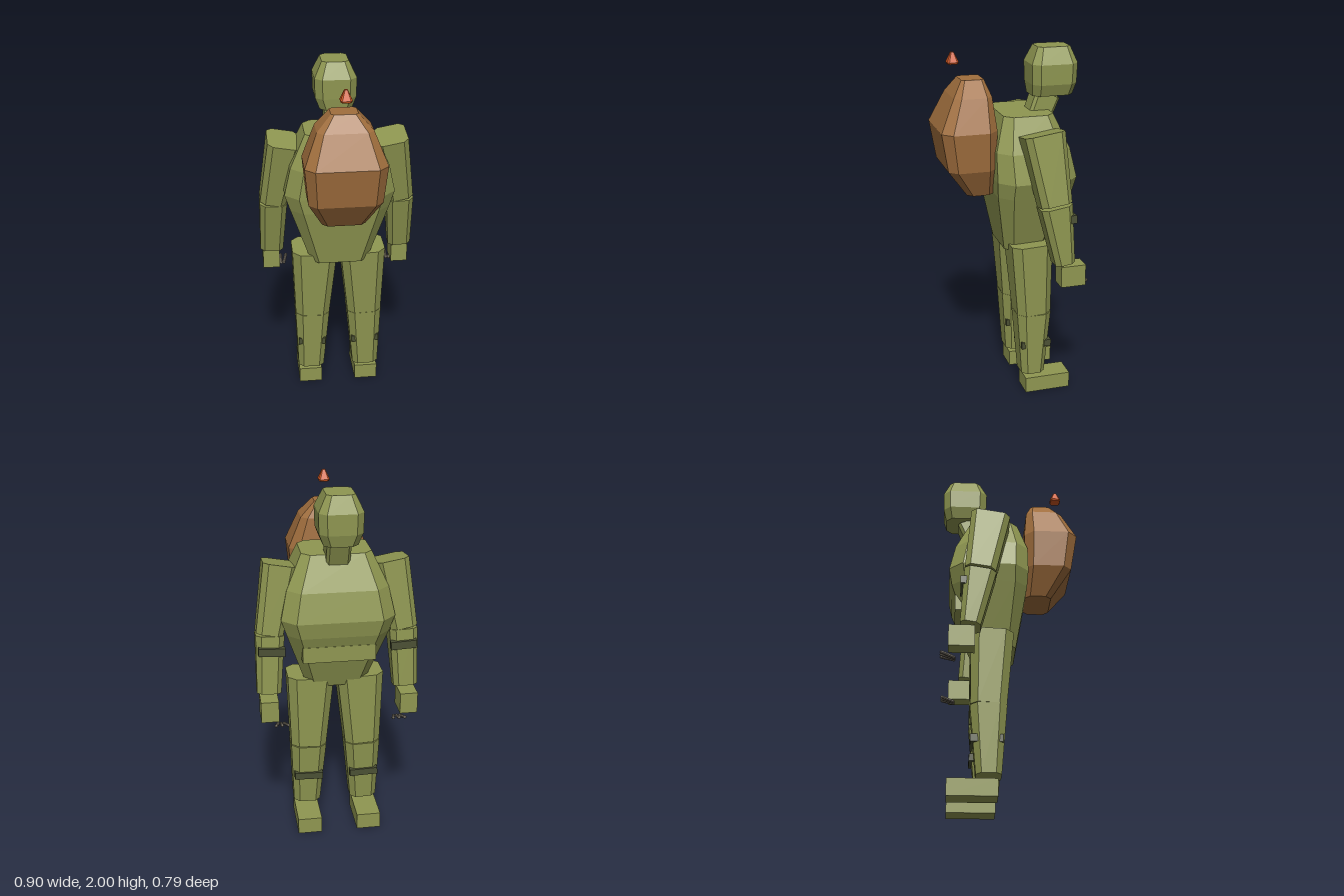
import * as THREE from 'three';

const mat = (name, color) => {
  const m = new THREE.MeshStandardMaterial({ color, flatShading: true });
  m.name = name;
  return m;
};

// Closed loft through chamfered rectangles, bottom to top.
// Ring: [x, y, z, halfWidth, halfDepth, chamfer]; tx and tz lean the ring planes.
function loft(rings, tx = 0, tz = 0) {
  const loops = rings.map(([cx, cy, cz, w, d, b]) =>
    [[w, d - b], [w, b - d], [w - b, -d], [b - w, -d], [-w, b - d], [-w, d - b], [b - w, d], [w - b, d]]
      .map(([x, z]) => [cx + x, cy + x * tx + z * tz, cz + z]));
  const out = [];
  const tri = (...pts) => pts.forEach((p) => out.push(...p));
  for (let r = 0; r < loops.length - 1; r++) {
    const a = loops[r], c = loops[r + 1];
    for (let i = 0; i < 8; i++) {
      const j = (i + 1) % 8;
      tri(a[i], a[j], c[j]);
      tri(a[i], c[j], c[i]);
    }
  }
  const lo = loops[0], hi = loops[loops.length - 1];
  for (let i = 1; i < 7; i++) {
    tri(lo[0], lo[i + 1], lo[i]);
    tri(hi[0], hi[i], hi[i + 1]);
  }
  const g = new THREE.BufferGeometry();
  g.setAttribute('position', new THREE.Float32BufferAttribute(out, 3));
  g.computeVertexNormals();
  return g;
}

// Tapered segment whose end planes are square to its axis
function limb(lower, upper) {
  const dy = upper[1] - lower[1];
  return loft([lower, upper], -(upper[0] - lower[0]) / dy, -(upper[2] - lower[2]) / dy);
}

export function createModel() {
  const green = mat('olive green', 0x8f9751);
  const brown = mat('pack brown', 0xa06e3d);
  const orange = mat('orange', 0xd0561f);
  const dark = mat('dark strap', 0x4b5034);
  const grey = mat('finger grey', 0x777063);

  const model = new THREE.Group();
  model.name = 'figure';
  const add = (parent, name, geometry, material) => {
    const m = new THREE.Mesh(geometry, material);
    m.name = name;
    parent.add(m);
    return m;
  };
  // Box given by its limits, x mirrored by side
  const box = (parent, name, material, s, x0, x1, y0, y1, z0, z1) => {
    const m = add(parent, name, new THREE.BoxGeometry(x1 - x0, y1 - y0, z1 - z0), material);
    m.position.set(s * (x0 + x1) / 2, (y0 + y1) / 2, (z0 + z1) / 2);
    return m;
  };

  // Head, neck and torso
  add(model, 'head', loft([
    [0, 1.735, -0.26, 0.09, 0.115, 0.035],
    [0, 1.80, -0.265, 0.115, 0.127, 0.04],
    [0, 1.91, -0.265, 0.118, 0.13, 0.04],
    [0, 2.0, -0.267, 0.075, 0.092, 0.025],
  ]), green);
  add(model, 'neck', limb([0, 1.61, -0.187, 0.065, 0.062, 0.015], [0, 1.74, -0.238, 0.065, 0.066, 0.015]), green);
  add(model, 'torso', loft([
    [0, 0.88, -0.085, 0.165, 0.12, 0.045],
    [0, 1.22, -0.118, 0.28, 0.212, 0.07],
    [0, 1.31, -0.123, 0.31, 0.224, 0.077],
    [0, 1.47, -0.107, 0.275, 0.207, 0.07],
    [0, 1.655, -0.095, 0.19, 0.14, 0.045],
  ]), green);
  box(model, 'bellyPlate', green, 1, -0.2, 0.2, 1.07, 1.16, -0.31, -0.24);

  // Backpack with a floating tip above it
  add(model, 'backpack', loft([
    [0, 1.21, 0.165, 0.12, 0.075, 0.03],
    [0, 1.37, 0.222, 0.20, 0.133, 0.045],
    [0, 1.585, 0.238, 0.22, 0.153, 0.053],
    [0, 1.76, 0.205, 0.15, 0.105, 0.035],
    [0, 1.845, 0.192, 0.072, 0.062, 0.016],
  ]), brown);
  add(model, 'packTip', loft([
    [0, 1.925, 0.288, 0.028, 0.028, 0.01],
    [0, 1.935, 0.288, 0.032, 0.031, 0.01],
    [0, 1.988, 0.288, 0.009, 0.009, 0.003],
  ]), orange);

  for (const s of [1, -1]) {
    const side = s > 0 ? 'left' : 'right';

    // Arm, strap, hand and fingers
    const arm = new THREE.Group();
    arm.name = side + 'Arm';
    model.add(arm);
    add(arm, 'upperArm', limb(
      [s * 0.37, 1.21, -0.175, 0.073, 0.085, 0.03], [s * 0.302, 1.588, -0.12, 0.09, 0.11, 0.03]), green);
    add(arm, 'forearm', limb(
      [s * 0.382, 0.878, -0.225, 0.067, 0.055, 0.025], [s * 0.367, 1.205, -0.175, 0.078, 0.087, 0.03]), green);
    const strap = box(arm, 'armStrap', dark, s, 0.29, 0.435, 1.11, 1.155, -0.282, -0.245);
    strap.rotation.z = s * 0.05;
    box(arm, 'hand', green, s, 0.337, 0.435, 0.745, 0.865, -0.34, -0.2);
    [-1, 0, 1].forEach((k) => {
      const base = new THREE.Vector3(s * (0.325 + k * 0.017), 0.718, -0.308);
      const tip = new THREE.Vector3(s * (0.325 + k * 0.033), 0.739, -0.374);
      const finger = add(arm, 'finger', new THREE.CapsuleGeometry(0.009, base.distanceTo(tip), 3, 8), grey);
      finger.position.copy(base).lerp(tip, 0.5);
      finger.quaternion.setFromUnitVectors(new THREE.Vector3(0, 1, 0), tip.sub(base).normalize());
    });

    // Leg, front and back shin straps, foot
    const leg = new THREE.Group();
    leg.name = side + 'Leg';
    model.add(leg);
    add(leg, 'thigh', limb(
      [s * 0.156, 0.5, -0.117, 0.1, 0.098, 0.04], [s * 0.14, 0.925, -0.1, 0.13, 0.118, 0.045]), green);
    add(leg, 'shin', limb(
      [s * 0.167, 0.12, -0.113, 0.077, 0.068, 0.03], [s * 0.156, 0.5, -0.117, 0.101, 0.1, 0.04]), green);
    for (const [name, z0, z1] of [['frontStrap', -0.213, -0.17], ['backStrap', -0.065, -0.038]]) {
      box(leg, name, dark, s, 0.08, 0.242, 0.288, 0.328, z0, z1).rotation.z = s * 0.03;
    }
    box(leg, 'foot', green, s, 0.103, 0.24, 0, 0.093, -0.332, -0.064);
  }
  return model;
}
